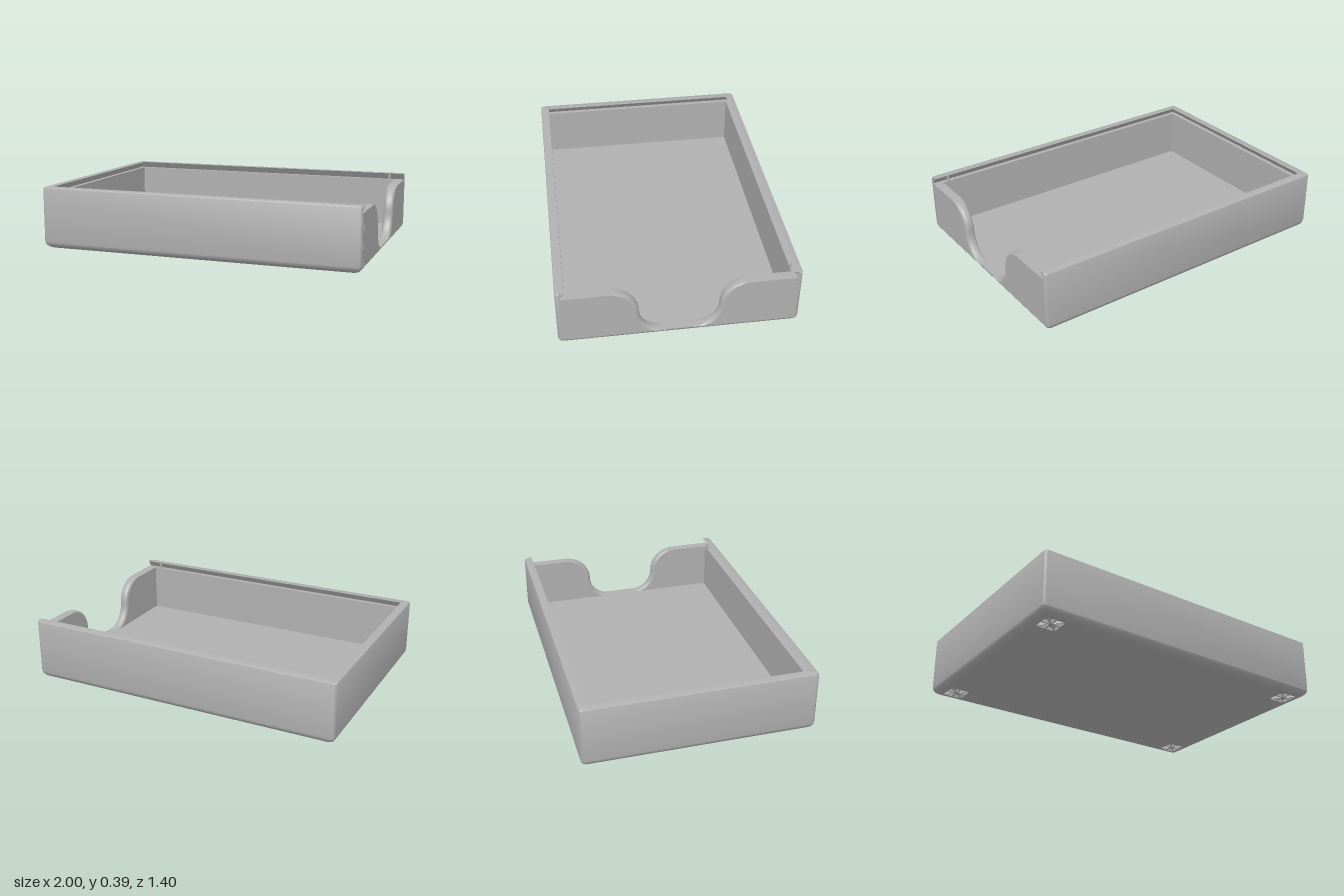
import * as THREE from 'three';
import { toCreasedNormals } from 'three/addons/utils/BufferGeometryUtils.js';

const FLOOR = 0.037, LEDGE = 0.345, TOP = 0.385, HX = 1, HZ = 0.7, WALL = 0.053;

// Skin a grid of points, row by row
function loft(rows, closed = false) {
  const n = rows[0].length, pos = rows.flat(2), index = [];
  for (let l = 0; l < rows.length - 1; l++) {
    for (let k = 0; k < (closed ? n : n - 1); k++) {
      const a = l * n + k, b = l * n + (k + 1) % n, c = b + n, d = a + n;
      index.push(a, d, c, a, c, b);
    }
  }
  const g = new THREE.BufferGeometry();
  g.setAttribute('position', new THREE.Float32BufferAttribute(pos, 3));
  g.setIndex(index);
  return toCreasedNormals(g, 0.6);
}

// Rounded rectangle at height y, running from the +x side all the way round;
// the +x end can have its own position
function ring(inset, y, r, xEnd = HX - inset) {
  const pts = [];
  [[1, 1], [-1, 1], [-1, -1], [1, -1]].forEach(([sx, sz], q) => {
    const cx = sx > 0 ? xEnd - r : -(HX - inset - r), cz = sz * (HZ - inset - r);
    for (let j = 0; j <= 5; j++) {
      const a = (q + j / 5) * Math.PI / 2;
      pts.push([cx + r * Math.cos(a), y, cz + r * Math.sin(a)]);
    }
  });
  return pts;
}

// Flat face in the z-y plane at x, facing +x (dir 1) or -x (dir -1)
function endFace(zy, x, dir) {
  const shape = new THREE.Shape(zy.map(([z, y]) => new THREE.Vector2(-dir * z, y)));
  return new THREE.ShapeGeometry(shape).rotateY(dir * Math.PI / 2).translate(x, 0, 0);
}

export function createModel() {
  const model = new THREE.Group();
  model.name = 'slideLidTray';
  const grey = new THREE.MeshStandardMaterial({ color: 0xb0b0b0, side: THREE.DoubleSide });
  grey.name = 'grey';
  const add = (name, geometry, parent = model) => {
    const mesh = new THREE.Mesh(geometry, grey);
    mesh.name = name;
    parent.add(mesh);
    return mesh;
  };

  // Rounded lower edge
  const R = 0.05, base = [];
  for (let j = 0; j <= 6; j++) {
    const y = FLOOR * (j / 6) ** 1.6;
    base.push(ring(R - Math.sqrt(R * R - (R - y) ** 2), y, 0.02));
  }
  add('baseEdge', loft(base, true));
  const floor = new THREE.PlaneGeometry(2 * HX - 0.02, 2 * HZ - 0.06).rotateX(-Math.PI / 2);
  add('floor', floor.translate(0, FLOOR, 0));

  // Underside with a cluster of triangular pockets near each corner
  const under = new THREE.Shape(base[0].map(([x, , z]) => new THREE.Vector2(x, z)));
  const rim = [[1, 0], [1, 1], [0, 1], [-1, 1], [-1, 0], [-1, -1], [0, -1], [1, -1]];
  const s = 0.065, depth = 0.02;
  for (const sx of [-1, 1]) for (const sz of [-1, 1]) {
    const cx = sx * (HX - 0.12), cz = sz * (HZ - 0.12);
    rim.forEach((p, k) => {
      const q = rim[(k + 1) % 8], mx = (p[0] + q[0]) / 3, mz = (p[1] + q[1]) / 3;
      const tri = [[0, 0], p, q].map(([x, z]) => new THREE.Vector2(
        cx + s * (mx + 0.78 * (x - mx)), cz + s * (mz + 0.78 * (z - mz))));
      under.holes.push(new THREE.Path(tri));
    });
    const roof = new THREE.PlaneGeometry(2 * s, 2 * s).rotateX(Math.PI / 2);
    add('pocketRoof', roof.translate(cx, depth, cz));
  }
  const plate = new THREE.ExtrudeGeometry(under, { depth, bevelEnabled: false });
  add('underside', plate.rotateX(Math.PI / 2).translate(0, depth, 0));

  // Three walls with a dovetail groove under the rim: inset, y, corner radius, end x
  const profile = [
    [0.002, FLOOR, 0.02, 0.998], [0, 0.05, 0.02, 1], [0, 0.377, 0.02, 1],
    [0.003, 0.383, 0.02, 0.997], [0.008, TOP, 0.015, 0.993], [WALL, TOP, 0, 0.993],
    [0.024, LEDGE, 0, 1], [WALL, LEDGE, 0, 1], [WALL, FLOOR, 0, 1],
  ];
  const walls = profile.map((p) => ring(...p));
  add('grooveWalls', loft(walls));
  const section = walls.map((row) => [row[0][2], row[0][1]]);

  // Half of the low end wall: S-shaped finger cutout with rounded edges
  const bend = (LEDGE - FLOOR) / 2, midY = FLOOR + bend, zLow = 0.08, zHigh = zLow + 2 * bend;
  function outline(d) {
    const pts = [[HZ - WALL + 0.004, LEDGE]];
    for (let j = 32; j >= 0; j--) {
      const t = j / 32, lower = t <= 0.5, a = (lower ? t : 1 - t) * Math.PI;
      const w = Math.min(1, 4 * t, 4 * (1 - t));
      const r = lower ? bend + d * w : bend - d * w;
      pts.push(lower
        ? [zLow + r * Math.sin(a), Math.max(FLOOR, midY - r * Math.cos(a))]
        : [zHigh - r * Math.sin(a), midY + r * Math.cos(a)]);
    }
    return pts;
  }
  const inX = 0.94, fillet = 0.022, layers = [];
  for (let j = 0; j <= 6; j++) {
    const a = j / 6 * Math.PI / 2;
    layers.push([fillet * (1 - Math.cos(a)), fillet * (1 - Math.sin(a))]);
  }
  const across = [
    ...layers.map(([x, d]) => [inX + x, d]),
    ...layers.slice().reverse().map(([x, d]) => [HX - x, d]),
  ];
  const cutout = loft(across.map(([x, d]) => outline(d).map(([z, y]) => [x, y, z])));
  const face = [...outline(fillet), [HZ - WALL + 0.004, FLOOR]];

  for (const side of [1, -1]) {
    const end = new THREE.Group();
    end.name = side > 0 ? 'frontEndWall' : 'backEndWall';
    end.scale.z = side;
    add('cutoutEdge', cutout, end);
    add('outerFace', endFace(face, HX, 1), end);
    add('innerFace', endFace(face, inX, -1), end);
    add('grooveEnd', endFace(section, 0.998, 1), end);
    // Lid catch in the groove
    const h = TOP - LEDGE + 0.001;
    add('lidCatch', new THREE.CylinderGeometry(0.009, 0.009, h, 16)
      .translate(0.9, LEDGE + h / 2, 0.657), end);
    model.add(end);
  }
  return model;
}
